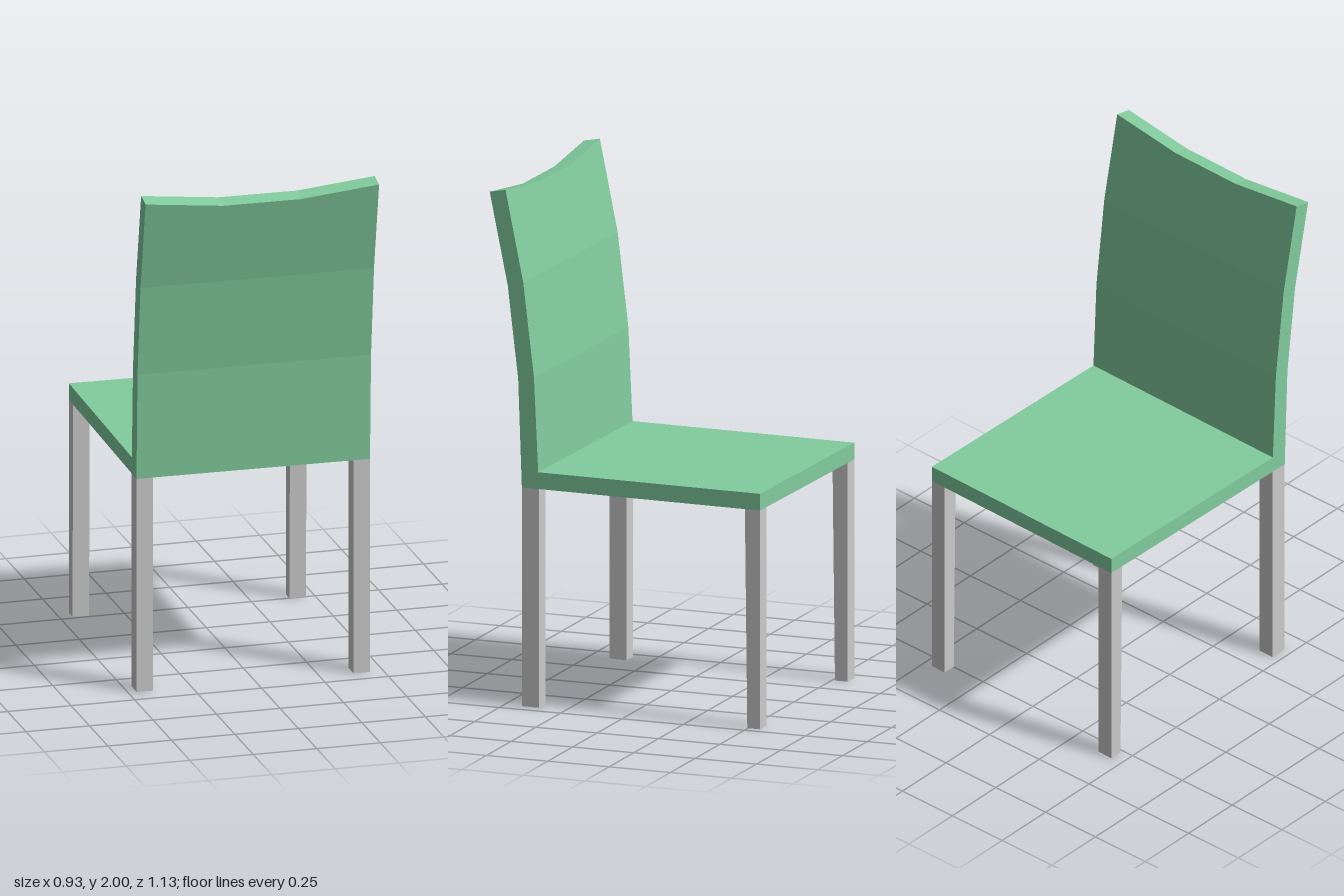
import * as THREE from 'three';

const LEFT = 0.455, RIGHT = -0.46, WIDTH = LEFT - RIGHT;
const SEAT_BOTTOM = 0.85, SEAT_FRONT = -0.557, SEAT_BACK = 0.421;

// Seat and curved backrest: one L-shaped side profile (z, y) swept across the width
function seatAndBackrest(material) {
  const profile = new THREE.Shape([
    [SEAT_FRONT, SEAT_BOTTOM], [SEAT_BACK, SEAT_BOTTOM],
    [0.436, 1.27], [0.479, 1.63], [0.553, 1.987],
    [0.488, 2.0], [0.415, 1.645], [0.371, 1.28],
    [0.354, 0.915], [SEAT_FRONT, 0.915],
  ].map(([z, y]) => new THREE.Vector2(z, y)));
  const geometry = new THREE.ExtrudeGeometry(profile, { depth: WIDTH, steps: 3, bevelEnabled: false });
  geometry.rotateY(-Math.PI / 2).translate(LEFT, 0, 0);

  // Lower the middle of the top rail, sliding along the backrest's slope
  const p = geometry.attributes.position;
  for (let i = 0; i < p.count; i++) {
    if (p.getY(i) > 1.9 && Math.abs(p.getX(i)) < 0.3) {
      p.setY(i, p.getY(i) - 0.034);
      p.setZ(i, p.getZ(i) - 0.007);
    }
  }
  geometry.computeVertexNormals();
  const mesh = new THREE.Mesh(geometry, material);
  mesh.name = 'seatAndBackrest';
  return mesh;
}

// Square tube leg, open at the ends; taper pulls in the foot's rear face
function leg(name, x, z, width, depth, taper, material) {
  const geometry = new THREE.CylinderGeometry(Math.SQRT1_2, Math.SQRT1_2, SEAT_BOTTOM, 4, 1, true);
  geometry.rotateY(Math.PI / 4).scale(width, 1, depth).translate(x, SEAT_BOTTOM / 2, z);
  const p = geometry.attributes.position;
  for (let i = 0; i < p.count; i++) {
    if (p.getY(i) < 0.1 && p.getZ(i) > z) p.setZ(i, p.getZ(i) - taper);
  }
  geometry.computeVertexNormals();
  const mesh = new THREE.Mesh(geometry, material);
  mesh.name = name;
  return mesh;
}

export function createModel() {
  const green = new THREE.MeshStandardMaterial({ color: 0x82cc9e, flatShading: true });
  const grey = new THREE.MeshStandardMaterial({ color: 0xcccccc, flatShading: true, side: THREE.DoubleSide });

  const chair = new THREE.Group();
  chair.name = 'chair';
  chair.add(seatAndBackrest(green));

  // Four legs flush with the seat's corners
  const w = 0.065, frontDepth = 0.062, backDepth = 0.07;
  for (const [side, x] of [['Left', LEFT - w / 2], ['Right', RIGHT + w / 2]]) {
    chair.add(leg('seatFrontLeg' + side, x, SEAT_FRONT + frontDepth / 2, w, frontDepth, 0.01, grey));
    chair.add(leg('seatBackLeg' + side, x, SEAT_BACK - backDepth / 2, w, backDepth, 0, grey));
  }

  // The chair stands turned very slightly
  chair.rotation.y = -0.0177;
  const model = new THREE.Group();
  model.name = 'diningChair';
  model.add(chair);
  return model;
}
